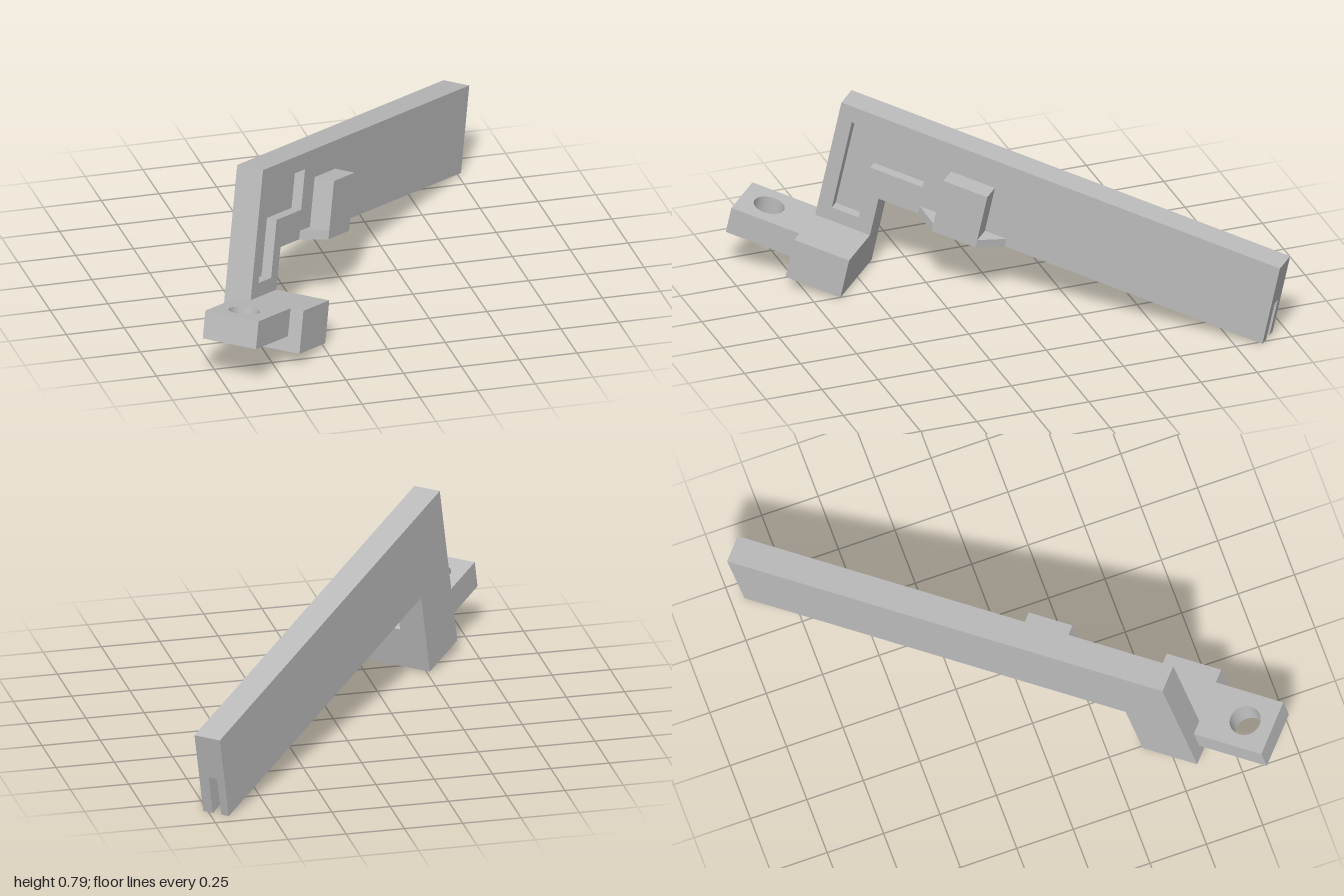
import * as THREE from 'three';

const grey = new THREE.MeshStandardMaterial({ color: 0xbcbcbc });
grey.name = 'plain grey';

const points = (pts) => pts.map(([x, y]) => new THREE.Vector2(x, y));

// Outline with optional holes; each hole is a list of points or a circle [x, y, r]
function outline(pts, holes = []) {
  const shape = new THREE.Shape(points(pts));
  for (const h of holes) {
    const path = typeof h[0] === 'number'
      ? new THREE.Path().absarc(h[0], h[1], h[2], 0, Math.PI * 2, true)
      : new THREE.Path(points(h));
    shape.holes.push(path);
  }
  return shape;
}

const rect = (x0, x1, y0, y1) => [[x0, y0], [x1, y0], [x1, y1], [x0, y1]];

function extrude(shape, depth) {
  return new THREE.ExtrudeGeometry(shape, { depth, bevelEnabled: false, curveSegments: 20 });
}

export function createModel() {
  const part = new THREE.Group();
  part.name = 'slottedBracket';

  const add = (name, geometry) => {
    const mesh = new THREE.Mesh(geometry, grey);
    mesh.name = name;
    part.add(mesh);
  };
  // Slab in the plate's plane, from depth z0 to z1
  const sheet = (name, shape, z0, z1) =>
    add(name, extrude(shape, z1 - z0).translate(0, 0, z0));
  // Slab seen in plan (outline in x and -z), from height y0 to y1
  const layer = (name, shape, y0, y1) =>
    add(name, extrude(shape, y1 - y0).rotateX(-Math.PI / 2).translate(0, y0, 0));

  // L-shaped plate: solid back, slotted core, front with an L-shaped pocket
  const leg = 0.25, len = 2, low = -0.377, footTop = -0.56;
  const plate = [[0, 0], [0, footTop], [leg, footTop], [leg, low], [len, low], [len, 0]];
  const slotted = [[0, 0], [0, footTop], [leg, footTop], [leg, low], [0.7, low],
    [0.7, -0.2], [len, -0.2], [len, 0]];
  const pocket = [[0.063, -0.073], [0.423, -0.073], [0.423, -0.248],
    [0.185, -0.248], [0.185, -0.498], [0.063, -0.498]];
  sheet('plateBack', outline(plate), -0.12, -0.085);
  sheet('plateSlottedCore', outline(slotted), -0.085, -0.045);
  sheet('plateFront', outline(plate, [pocket]), -0.045, 0);

  // Foot block with a blind hole underneath
  const foot = rect(0, leg, -0.245, 0.12);
  layer('footBase', outline(foot, [[0.13, -0.12, 0.065]]), -0.745, -0.645);
  layer('footTop', outline(foot), -0.645, footTop);

  // Arm with a through hole
  layer('holedArm', outline(rect(-0.31, 0, -0.185, 0.062), [[-0.186, -0.06, 0.066]]), -0.68, footTop);

  // Post on a flared flange with a small hole underneath
  layer('postFlange', outline([[0.43, 0], [0.527, -0.09], [0.727, -0.09], [0.824, 0]],
    [[0.627, -0.05, 0.035]]), low, -0.34);
  layer('post', outline(rect(0.527, 0.727, -0.09, 0)), -0.34, -0.126);

  // Lean and turn the whole part into place
  const u = new THREE.Vector3(0.65, -0.209, -0.73).normalize();
  const w = new THREE.Vector3(0.747, 0, 0.665).normalize();
  const v = new THREE.Vector3().crossVectors(w, u).normalize();
  w.crossVectors(u, v);
  part.quaternion.setFromRotationMatrix(new THREE.Matrix4().makeBasis(u, v, w));
  part.position.set(-0.48, 0.786, 0.54);

  const model = new THREE.Group();
  model.name = 'model';
  model.add(part);
  return model;
}
